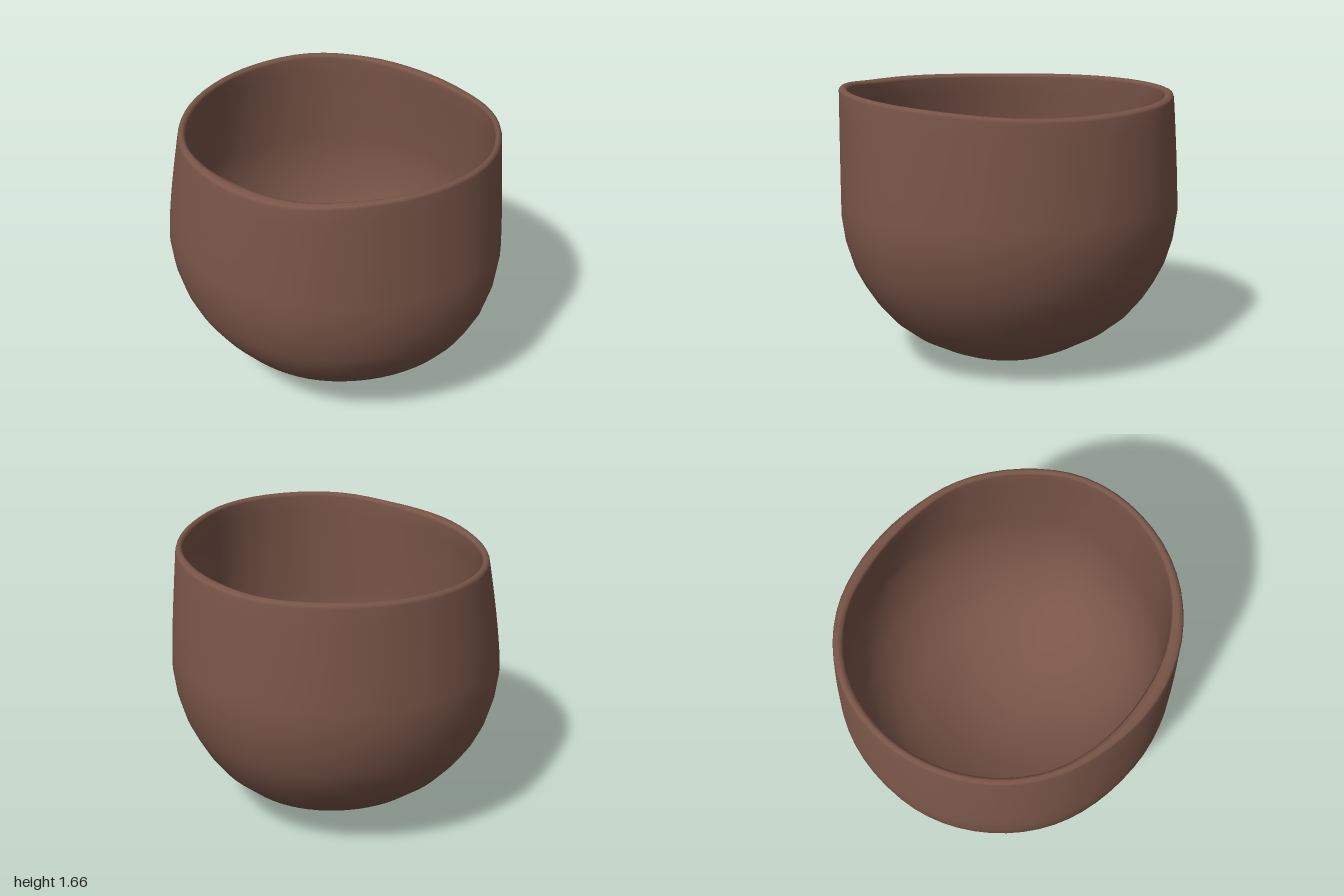
import * as THREE from 'three';

// Irregular outlines sampled at 16 even angles, from +x turning towards +z
const BELLY = [.975, 1.0, 1.045, 1.02, 1.0, .99, .97, .965, .98, .99, 1.0, 1.0, 1.0, .99, .97, .965];
const RIM = [.93, .96, 1.0, 1.005, .995, .97, .93, .895, .895, .905, .92, .945, .96, .94, .905, .9];
const LIP = [.04, .04, .04, .045, .055, .075, .085, .06, .045, .045, .045, .05, .055, .06, .07, .06];
const HEIGHT = [1.61, 1.635, 1.655, 1.66, 1.65, 1.615, 1.60, 1.585, 1.575, 1.58, 1.59, 1.60, 1.61, 1.60, 1.595, 1.595];

// Rounded bottom: [height, share of the belly radius]
const BOTTOM = [[0, 0], [.005, .1], [.018, .2], [.05, .32], [.1, .43], [.2, .61], [.3, .735],
  [.4, .82], [.5, .885], [.6, .935], [.75, .98], [.9, 1]];
const SIDE_STEPS = 7;
const WALL = .065;
const FLOOR = .08;
const SEGMENTS = 64;

// Smooth closed interpolation through a ring of samples
function sample(ring, turn) {
  const n = ring.length, f = turn * n, i = Math.floor(f), t = f - i;
  const [a, b, c, d] = [-1, 0, 1, 2].map(k => ring[(i + k + n) % n]);
  return b + .5 * t * (c - a + t * (2 * a - 5 * b + 4 * c - d + t * (3 * (b - c) + d - a)));
}

// Profile of the wall at one angle: outside up, over the lip, inside down
function wallProfile(turn) {
  const [belly, rim, thick, top] = [BELLY, RIM, LIP, HEIGHT].map(ring => sample(ring, turn));
  const outer = BOTTOM.map(([y, s]) => [s * belly, y]);
  const inner = BOTTOM.map(([y, s]) => [s * (belly - WALL), y + FLOOR * (1 - s * s)]);
  for (let k = 1; k <= SIDE_STEPS; k++) {
    const t = k / SIDE_STEPS;
    const y = .9 + t * (top - .025 - .9);
    const r = belly + (rim - belly) * Math.pow(t, 1.35);
    outer.push([r, y]);
    inner.push([r - WALL - (thick - WALL) * t, y]);
  }
  const lip = [[.14, .009], [.5, 0], [.86, .009]].map(([s, drop]) => [rim - s * thick, top - drop]);
  return [...outer, ...lip, ...inner.reverse()];
}

function bowlGeometry() {
  const positions = [], index = [];
  let rows = 0;
  for (let j = 0; j < SEGMENTS; j++) {
    const turn = j / SEGMENTS, a = turn * Math.PI * 2;
    const profile = wallProfile(turn);
    rows = profile.length;
    for (const [r, y] of profile) {
      // the lowest point sits slightly off centre
      const shift = .04 * Math.max(0, 1 - y / .5);
      positions.push(r * Math.cos(a) + shift, y, r * Math.sin(a));
    }
  }
  for (let j = 0; j < SEGMENTS; j++) {
    const p = j * rows, q = ((j + 1) % SEGMENTS) * rows;
    for (let i = 0; i < rows - 1; i++) {
      // rings close to a point at both ends of the profile
      index.push(p + i, p + i + 1, q + i + 1);
      if (i > 0) index.push(p + i, q + i + 1, q + i);
    }
  }
  const geometry = new THREE.BufferGeometry();
  geometry.setAttribute('position', new THREE.Float32BufferAttribute(positions, 3));
  geometry.setIndex(index);
  geometry.computeVertexNormals();
  return geometry;
}

export function createModel() {
  const clay = new THREE.MeshStandardMaterial({ color: 0x795548 });
  clay.name = 'brown clay';

  const bowl = new THREE.Mesh(bowlGeometry(), clay);
  bowl.name = 'bowl';

  const model = new THREE.Group();
  model.name = 'handmade bowl';
  model.add(bowl);
  return model;
}
